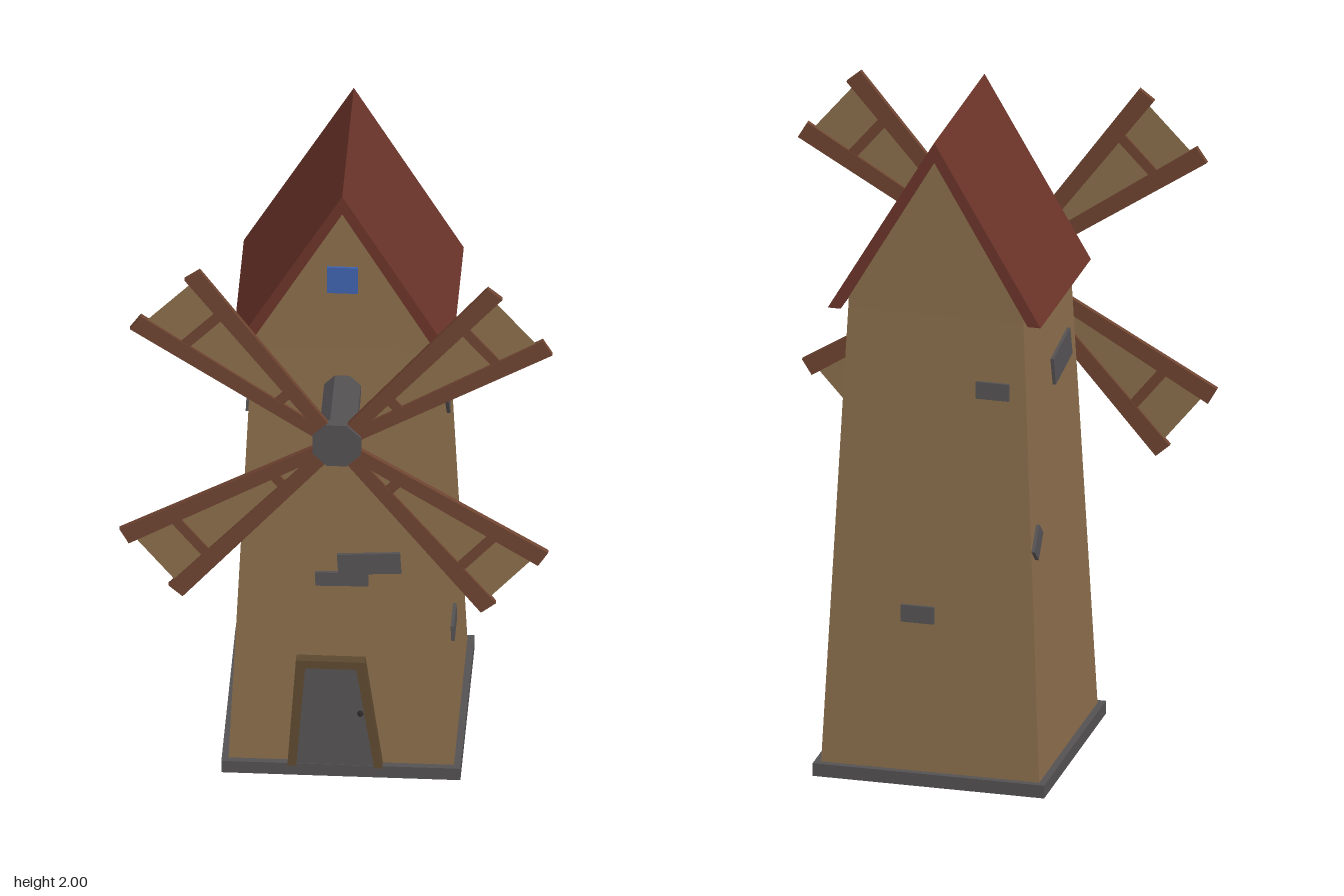
import * as THREE from 'three';

const mat = (name, color, side = THREE.FrontSide) => {
  const m = new THREE.MeshStandardMaterial({ color, side, flatShading: true });
  m.name = name;
  return m;
};

export function createModel() {
  const plaster = mat('tan plaster', 0x8a6d4b, THREE.DoubleSide);
  const roofRed = mat('roof red', 0x6b3429);
  const stone = mat('stone grey', 0x545153);
  const timber = mat('sail timber', 0x6f4431);
  const frameWood = mat('door frame wood', 0x5c482f);
  const glass = mat('window blue', 0x3f62ae);
  const iron = mat('dark iron', 0x2c2826);

  const model = new THREE.Group();
  model.name = 'windmill';
  const tower = new THREE.Group();
  tower.name = 'tower';
  tower.position.z = -0.105;
  model.add(tower);

  const add = (parent, name, geo, material, x = 0, y = 0, z = 0) => {
    const mesh = new THREE.Mesh(geo, material);
    mesh.name = name;
    mesh.position.set(x, y, z);
    parent.add(mesh);
    return mesh;
  };
  const poly = (pts) => new THREE.Shape(pts.map(([x, y]) => new THREE.Vector2(x, y)));
  const extrude = (shape, depth) => new THREE.ExtrudeGeometry(shape, { depth, bevelEnabled: false });
  const square = (h) => [[-h, -h], [h, -h], [h, h], [-h, h]];

  // Tapered square walls, open underneath
  const baseY = 0.04, topY = 1.45, baseHalf = 0.33, topHalf = 0.265;
  const slope = (baseHalf - topHalf) / (topY - baseY);
  const lean = Math.atan(slope);
  const wallAt = (y) => baseHalf - slope * (y - baseY);
  const walls = new THREE.CylinderGeometry(topHalf * Math.SQRT2, baseHalf * Math.SQRT2, topY - baseY, 4, 1, true);
  walls.rotateY(Math.PI / 4);
  add(tower, 'walls', walls, plaster, 0, (topY + baseY) / 2, 0);

  // Stone footing ring
  const ring = poly(square(0.35));
  ring.holes.push(poly(square(0.325)));
  add(tower, 'footing', extrude(ring, baseY).rotateX(-Math.PI / 2), stone);

  // Gable block and the two roof slopes
  const gable = poly([[-topHalf, topY], [topHalf, topY], [topHalf, 1.48], [0, 1.94], [-topHalf, 1.48]]);
  add(tower, 'gable', extrude(gable, topHalf * 2), plaster, 0, 0, -topHalf);
  const roof = poly([[-0.322, 1.45], [-0.283, 1.45], [0, 1.938], [0.283, 1.45], [0.322, 1.45], [0, 2]]);
  add(tower, 'roof', extrude(roof, 0.57), roofRed, 0, 0, -0.285);
  add(tower, 'window', new THREE.BoxGeometry(0.09, 0.09, 0.008), glass, 0, 1.695, topHalf + 0.003);

  // Loose stones on the walls: [wall quarter-turn, across, height, width, tall, roll]
  [
    [0, 0.08, 0.722, 0.185, 0.068, 0.06], [0, 0, 0.667, 0.155, 0.045, 0.02],
    [1, 0.115, 1.078, 0.145, 0.078, 0.52], [1, -0.132, 0.41, 0.125, 0.05, 0],
    [2, 0.175, 1.235, 0.1, 0.052, 0], [2, -0.043, 0.525, 0.1, 0.052, 0],
    [3, 0.105, 1.21, 0.195, 0.085, 0.13], [3, -0.245, 0.76, 0.09, 0.055, 0.78],
  ].forEach(([turn, u, y, w, h, roll]) => {
    const side = new THREE.Group();
    side.name = 'wallStone';
    side.rotation.y = turn * Math.PI / 2;
    tower.add(side);
    const s = add(side, 'stone', new THREE.BoxGeometry(w, h, 0.02), stone, u, y, wallAt(y));
    s.rotation.set(-lean, 0, roll);
  });

  // Crooked doorway leaning with the front wall
  const doorway = new THREE.Group();
  doorway.name = 'doorway';
  doorway.position.set(0, baseY, baseHalf);
  doorway.rotation.x = -lean;
  tower.add(doorway);
  const panel = [[-0.13, 0], [0.098, 0], [0.045, 0.335], [-0.105, 0.335]];
  const frame = poly([[-0.156, 0], [-0.13, 0], [-0.105, 0.335], [0.045, 0.335],
    [0.098, 0], [0.122, 0], [0.07, 0.36], [-0.132, 0.36]]);
  add(doorway, 'doorFrame', extrude(frame, 0.05), frameWood, 0, 0, -0.015);
  add(doorway, 'door', extrude(poly(panel), 0.032), stone, 0, 0, -0.012);
  add(doorway, 'doorKnob', new THREE.SphereGeometry(0.009, 8, 6), iron, 0.057, 0.18, 0.025);

  // Axle and hub
  const rotor = new THREE.Group();
  rotor.name = 'rotor';
  rotor.position.set(0, 1.305, 0.435);
  model.add(rotor);
  const octagon = (r, len) => new THREE.CylinderGeometry(r, r, len, 8).rotateY(Math.PI / 8).rotateX(Math.PI / 2);
  add(rotor, 'axle', octagon(0.058, 0.36), stone, 0, 0, -0.18);
  add(rotor, 'hub', octagon(0.077, 0.03), stone, 0, 0, 0.003);

  // Four sails: two spreading spars, two cross bars and a panel
  const spread = 0.168, t = Math.tan(spread);
  const spar = poly([[0, -0.02], [0.715, -0.028], [0.715, 0.028], [0, 0.02]]);
  const cloth = poly([[0.03, -0.03 * t], [0.685, -0.685 * t], [0.685, 0.685 * t], [0.03, 0.03 * t]]);
  [40, 136, 219, 318].forEach((deg) => {
    const sail = new THREE.Group();
    sail.name = 'sail';
    sail.rotation.z = THREE.MathUtils.degToRad(deg);
    rotor.add(sail);
    for (const s of [-1, 1]) {
      add(sail, 'spar', extrude(spar, 0.016), timber, 0, 0, -0.008).rotation.z = s * spread;
    }
    for (const r of [0.22, 0.55]) {
      add(sail, 'crossBar', new THREE.BoxGeometry(0.03, 2 * r * t, 0.013), timber, r, 0, 0);
    }
    add(sail, 'sailPanel', new THREE.ShapeGeometry(cloth), plaster);
  });

  return model;
}
